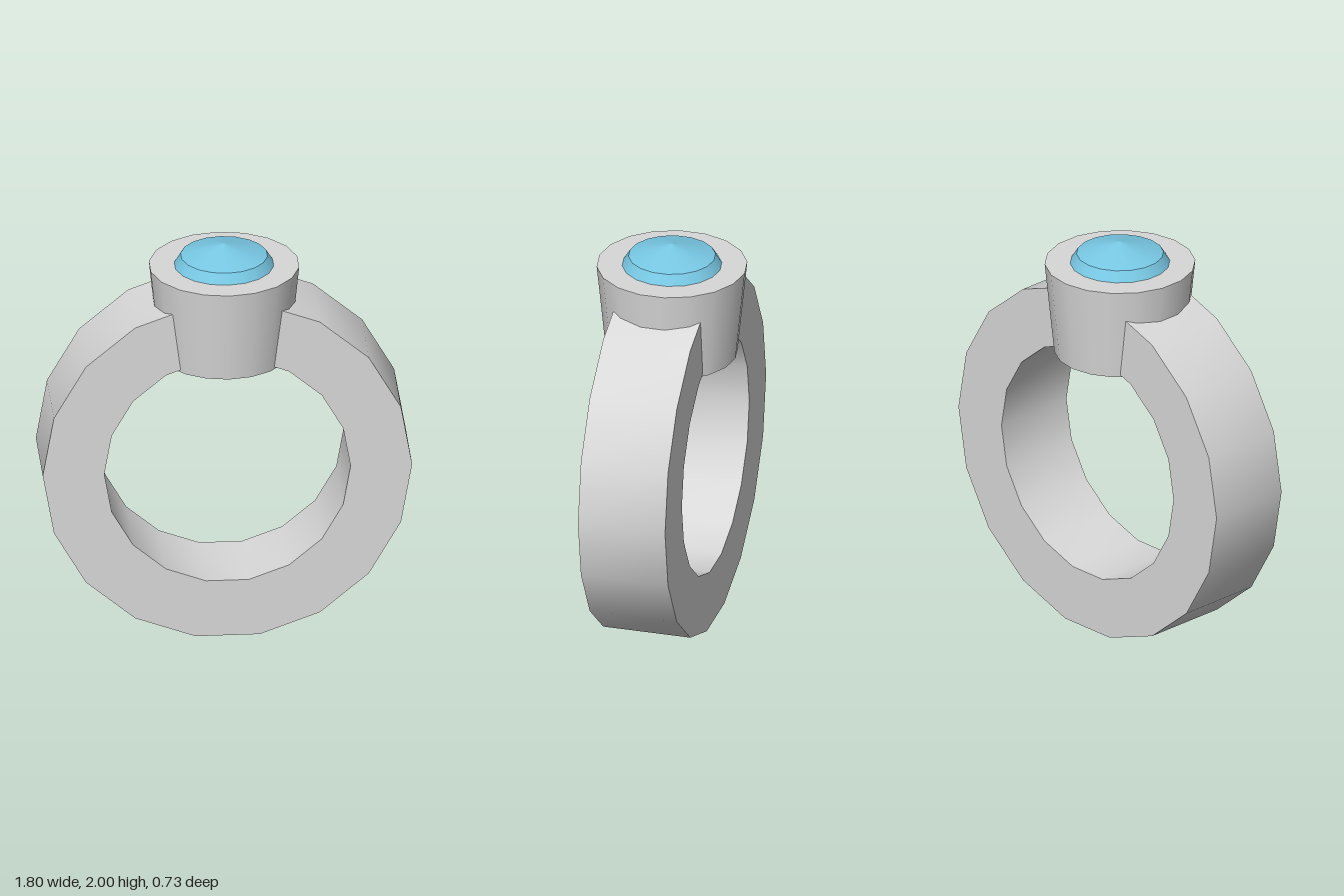
import * as THREE from 'three';
import { toCreasedNormals } from 'three/addons/utils/BufferGeometryUtils.js';

const SIDES = 18;

export function createModel() {
  const silver = new THREE.MeshStandardMaterial({ color: 0xd8d8d8, side: THREE.DoubleSide });
  silver.name = 'silver';
  const blue = new THREE.MeshStandardMaterial({ color: 0x78c8e4, side: THREE.DoubleSide });
  blue.name = 'gem blue';

  const ring = new THREE.Group();
  ring.name = 'ring';
  const add = (parent, name, geometry, material, y) => {
    const mesh = new THREE.Mesh(geometry, material);
    mesh.name = name;
    mesh.position.y = y;
    parent.add(mesh);
  };
  const wall = (top, bottom, height) =>
    new THREE.CylinderGeometry(top, bottom, height, SIDES, 1, true);

  // Band: an 18-sided hoop, left open for one side inside the setting
  const step = (Math.PI * 2) / SIDES;
  const points = [];
  for (const [radius, reverse] of [[0.9, false], [0.6, true]]) {
    for (let i = 0; i < SIDES; i++) {
      const a = ((reverse ? SIDES - 1 - i : i) + 5) * step;
      points.push(new THREE.Vector2(Math.cos(a) * radius, Math.sin(a) * radius));
    }
  }
  const hoop = new THREE.ExtrudeGeometry(new THREE.Shape(points), { depth: 0.44, bevelEnabled: false });
  hoop.translate(0, 0, -0.22);
  add(ring, 'band', toCreasedNormals(hoop, 0.6), silver, 0.886);

  // Setting: hollow tapered cup with a flat rim around the stone
  const setting = new THREE.Group();
  setting.name = 'setting';
  add(setting, 'cup', wall(0.367, 0.32, 0.47), silver, 1.655);
  const rim = new THREE.RingGeometry(0.24, 0.367, SIDES, 1, Math.PI / 2);
  rim.rotateX(-Math.PI / 2);
  add(setting, 'rim', rim, silver, 1.89);
  ring.add(setting);

  // Gem: sloped girdle with a shallow cone on top
  const gem = new THREE.Group();
  gem.name = 'gem';
  add(gem, 'girdle', wall(0.212, 0.243, 0.05), blue, 1.915);
  add(gem, 'crown', wall(0, 0.212, 0.06), blue, 1.97);
  ring.add(gem);

  return ring;
}
